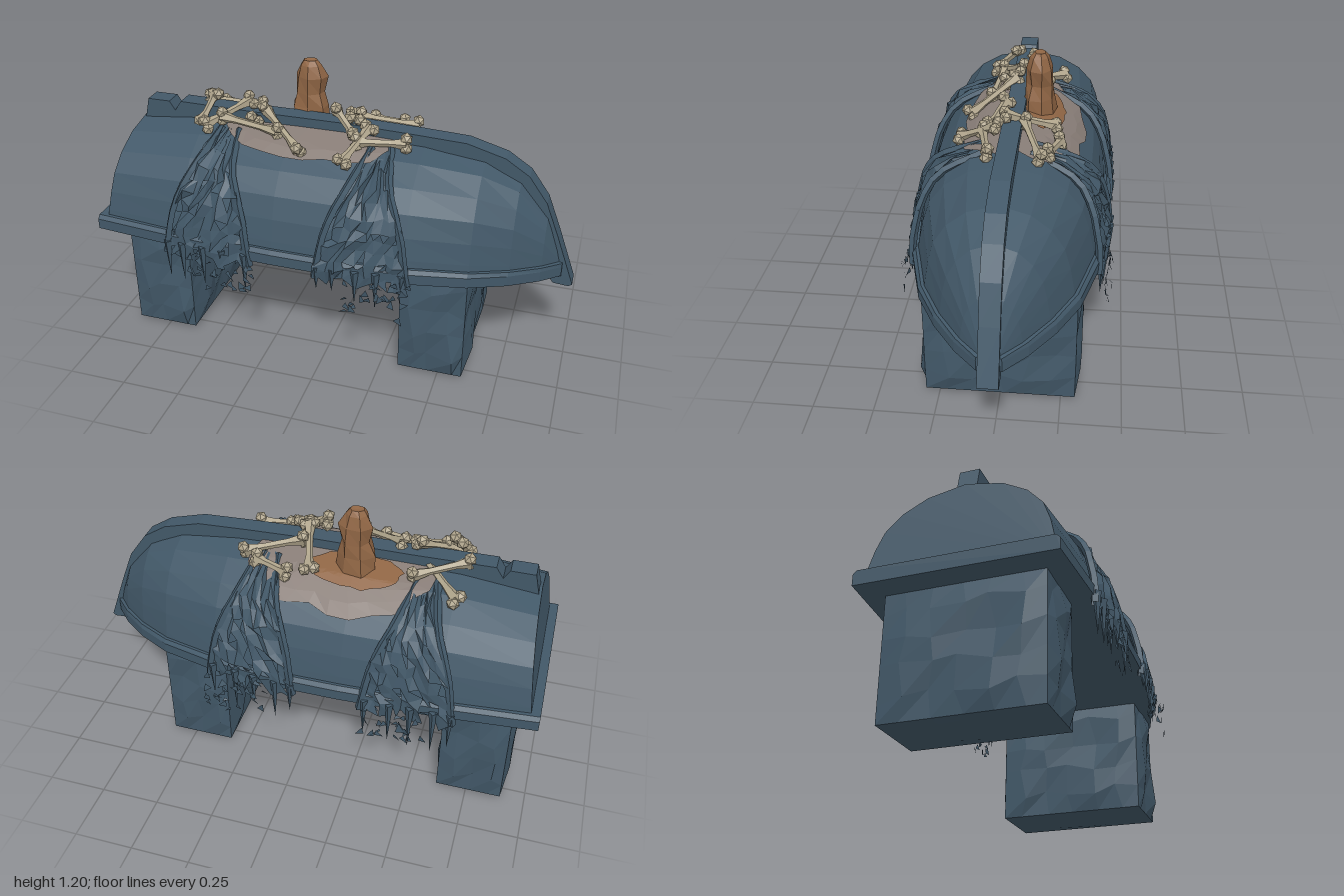
import * as THREE from 'three';

const mat = (name, color) => {
  const m = new THREE.MeshStandardMaterial({ color, flatShading: true, side: THREE.DoubleSide });
  m.name = name;
  return m;
};

let seed = 7;
const rnd = () => ((seed = (seed * 16807) % 2147483647) / 2147483647);
const jit = (a) => (rnd() - 0.5) * 2 * a;
const lerpTable = (table, x) => {
  let i = 0;
  while (i < table.length - 2 && x > table[i + 1][0]) i++;
  const a = table[i], b = table[i + 1];
  const t = THREE.MathUtils.clamp((x - a[0]) / (b[0] - a[0]), 0, 1);
  return a.map((v, k) => v + (b[k] - v) * t);
};

// Hull stations: x, half width, gunwale height, crown height
const STATIONS = [
  [-0.97, 0.37, 0.51, 0.91], [-0.6, 0.395, 0.5, 0.945], [-0.2, 0.405, 0.495, 0.95],
  [0.1, 0.4, 0.49, 0.95], [0.35, 0.37, 0.485, 0.94], [0.6, 0.3, 0.47, 0.91],
  [0.75, 0.215, 0.455, 0.84], [0.87, 0.12, 0.44, 0.7], [0.95, 0.03, 0.425, 0.5],
];
// Hull half profile: width fraction, height fraction
const PROFILE = [[0, 1], [0.4, 0.92], [0.66, 0.78], [0.83, 0.6], [0.91, 0.4], [0.96, 0.2], [1, 0]];
const PROFILE_UP = PROFILE.map(([s, h]) => [h, s]).reverse();

const heightAt = (x, z) => {
  const [, w, g, top] = lerpTable(STATIONS, x);
  return g + (top - g) * lerpTable(PROFILE, Math.abs(z) / w)[1];
};
const halfWidthAt = (x, y) => {
  const [, w, g, top] = lerpTable(STATIONS, x);
  return w * lerpTable(PROFILE_UP, (y - g) / (top - g))[1];
};

function geometryFrom(points, index) {
  const g = new THREE.BufferGeometry();
  g.setAttribute('position', new THREE.Float32BufferAttribute(points.flat(), 3));
  g.setIndex(index);
  g.computeVertexNormals();
  return g;
}

// Skin closed rings of equal length, capped at both ends
function loft(rings) {
  const n = rings[0].length, idx = [], last = (rings.length - 1) * n;
  for (let i = 0; i < rings.length - 1; i++)
    for (let j = 0; j < n; j++) {
      const a = i * n + j, b = i * n + ((j + 1) % n);
      idx.push(a, a + n, b, b, a + n, b + n);
    }
  for (let j = 1; j < n - 1; j++) idx.push(0, j, j + 1, last, last + j + 1, last + j);
  return geometryFrom(rings.flat(), idx);
}

// Weathered stone block with chamfered edges
function stone(cx) {
  const size = [0.32, 0.52, 0.66];
  const g = new THREE.BoxGeometry(...size, 4, 5, 6);
  const p = g.attributes.position;
  for (let i = 0; i < p.count; i++) {
    const v = [p.getX(i), p.getY(i), p.getZ(i)];
    const out = v.map((c, k) => Math.abs(c) > size[k] / 2 - 0.001);
    const edge = out.filter(Boolean).length > 1;
    const [x, y, z] = v;
    const wob = Math.sin(x * 17 + y * 23 + z * 11 + cx * 5) + Math.sin(x * 31 - y * 13 + z * 19);
    const q = v.map((c, k) => {
      if (out[k]) return c - Math.sign(c) * (edge ? 0.022 : 0.007 + 0.007 * wob);
      return c + 0.018 * Math.sin(wob * 3 + k * 2);
    });
    p.setXYZ(i, q[0], Math.max(q[1] * 1.06, -0.26), q[2]);
  }
  g.translate(cx, 0.262, 0);
  g.computeVertexNormals();
  return g;
}

// Irregular stain that lies on the hull
function stain(cx, cz, rx, rz, power, lift) {
  const rings = 6, n = 28, pts = [[cx, heightAt(cx, cz) + lift, cz]], idx = [];
  const wobble = Array.from({ length: n }, () => 1 + jit(0.07));
  for (let r = 1; r <= rings; r++)
    for (let j = 0; j < n; j++) {
      const a = (j / n) * Math.PI * 2, c = Math.cos(a), s = Math.sin(a);
      const k = (r / rings) * wobble[j] / Math.pow(Math.abs(c) ** power + Math.abs(s) ** power, 1 / power);
      const x = cx + rx * k * c, z = cz + rz * k * s;
      pts.push([x, heightAt(x, z) + lift, z]);
      const b = 1 + (r - 1) * n + j, d = 1 + (r - 1) * n + ((j + 1) % n);
      if (r === 1) idx.push(0, d, b);
      else idx.push(b - n, d - n, b, d - n, d, b);
    }
  return geometryFrom(pts, idx);
}

// Torn net hanging over one side of the hull
function net(cx, side, material) {
  const group = new THREE.Group();
  group.name = 'tornNet';
  const add = (g, name) => {
    const m = new THREE.Mesh(g, material);
    m.name = name;
    group.add(m);
  };
  const at = (u, v, off) => {
    const y = 0.93 - 0.46 * v;
    const x = cx + u * lerpTable([[0, 0.04], [0.5, 0.15], [1, 0.19]], v)[1];
    return [x, y, side * (halfWidthAt(x, Math.max(y, 0.54)) + off)];
  };
  const cols = 9, rows = 10, pts = [], idx = [];
  for (let r = 0; r <= rows; r++)
    for (let c = 0; c <= cols; c++) {
      const p = at((c / cols) * 2 - 1, r / rows, 0.03 + jit(0.014));
      pts.push([p[0] + jit(0.012), p[1] + jit(r === rows ? 0.04 : 0.014), p[2]]);
      if (r === 0 || c === 0) continue;
      const d = r * (cols + 1) + c, b = d - cols - 1;
      const chance = r > 4 ? 0.14 : 0.03;
      if (rnd() > chance) idx.push(b - 1, d - 1, b);
      if (rnd() > chance) idx.push(b, d - 1, d);
    }
  add(geometryFrom(pts, idx), 'netSheet');
  // Edge ropes
  for (const u of [-1, 1]) {
    const path = [0, 0.2, 0.4, 0.6, 0.8, 1].map((v) => new THREE.Vector3(...at(u, v, 0.025)));
    add(new THREE.TubeGeometry(new THREE.CatmullRomCurve3(path), 10, 0.016, 4), 'edgeRope');
  }
  // Hanging strands
  for (const u of [-0.95, -0.6, -0.1, 0.35, 0.9]) {
    const len = 0.1 + rnd() * 0.12, p = at(u, 0.97, 0.03);
    const g = new THREE.ConeGeometry(0.018, len, 4);
    g.rotateX(Math.PI);
    g.translate(p[0], p[1] - len / 2 + 0.04, p[2]);
    add(g, 'strand');
  }
  // Loose scraps below
  const bits = [], bitIdx = [];
  for (let i = 0; i < 26; i++) {
    const x = cx + 0.06 + jit(0.14), y = 0.32 + rnd() * 0.16, z = side * (0.425 + jit(0.015)), s = 0.012 + rnd() * 0.008;
    bits.push([x - s, y + jit(s), z], [x + s, y + jit(s), z + jit(s)], [x + jit(s), y + 1.6 * s, z]);
    bitIdx.push(i * 3, i * 3 + 1, i * 3 + 2);
  }
  add(geometryFrom(bits, bitIdx), 'netScraps');
  return group;
}

// Bone with flared shaft and paired knobs
function bone(x1, z1, l1, x2, z2, l2, material) {
  const a = new THREE.Vector3(x1, heightAt(x1, z1) + l1, z1);
  const b = new THREE.Vector3(x2, heightAt(x2, z2) + l2, z2);
  const len = a.distanceTo(b), group = new THREE.Group();
  group.name = 'bone';
  const outline = [[0.027, -0.5], [0.016, -0.25], [0.015, 0.2], [0.027, 0.5]];
  const shaft = new THREE.Mesh(
    new THREE.LatheGeometry(outline.map(([r, t]) => new THREE.Vector2(r, t * len)), 5), material);
  shaft.name = 'boneShaft';
  group.add(shaft);
  for (const end of [-1, 1])
    for (const s of [-1, 1]) {
      const knob = new THREE.Mesh(new THREE.IcosahedronGeometry(0.027, 0), material);
      knob.name = 'boneKnob';
      knob.position.set(s * 0.02, (end * len) / 2, 0);
      knob.rotation.set(s, end, s * 2);
      group.add(knob);
    }
  group.position.copy(a).add(b).multiplyScalar(0.5);
  group.quaternion.setFromUnitVectors(new THREE.Vector3(0, 1, 0), b.sub(a).normalize());
  return group;
}

export function createModel() {
  const model = new THREE.Group();
  const slate = mat('slateBlue', 0x425868), ivory = mat('boneIvory', 0xb0a58c);
  const taupe = mat('dustTaupe', 0x887d77), brown = mat('waxBrown', 0x8f6544);
  const add = (name, geo, material) => {
    const m = new THREE.Mesh(geo, material);
    m.name = name;
    model.add(m);
  };

  // Upturned hull, stern face leaning inward
  const half = PROFILE.slice().reverse();
  const section = [...half, ...half.slice(0, -1).reverse().map(([s, h]) => [-s, h])];
  add('hull', loft(STATIONS.map(([x, w, g, top], i) =>
    section.map(([s, h]) => [x + (i === 0 ? 0.05 * h : 0), g + (top - g) * h, s * w]))), slate);

  // Gunwale rim
  const rim = [[-1, 0.37, 0.51], ...STATIONS.slice(1)];
  add('rim', loft(rim.map(([x, w, g]) =>
    [[1, 0], [1, 0.045], [0.96, 0.06], [-0.96, 0.06], [-1, 0.045], [-1, 0]]
      .map(([s, h]) => [x, g + h, s * (w + 0.018)]))), slate);

  // Notched keel and curved stem
  const keel = new THREE.Shape([
    [-0.92, 0.86], [-0.89, 0.99], [-0.79, 0.99], [-0.765, 0.95], [-0.735, 0.995], [-0.4, 0.99],
    [0, 0.99], [0.3, 0.98], [0.52, 0.97], [0.68, 0.925], [0.78, 0.86], [0.86, 0.75], [0.92, 0.6],
    [1, 0.385], [0.985, 0.375], [0.92, 0.38], [0.87, 0.45], [0.8, 0.7], [0.5, 0.86],
  ].map(([x, y]) => new THREE.Vector2(x, y)));
  const keelGeo = new THREE.ExtrudeGeometry(keel, { depth: 0.08, bevelEnabled: false });
  add('keel', keelGeo.translate(0, 0, -0.04), slate);

  // Supporting stones
  add('sternStone', stone(-0.76), slate);
  add('bowStone', stone(0.465), slate);

  // Stains on the hull crown
  add('dustStain', stain(-0.12, -0.04, 0.38, 0.25, 3.2, 0.009), taupe);
  add('waxStain', stain(-0.19, -0.125, 0.19, 0.085, 2, 0.016), brown);

  // Melted candle
  const candle = new THREE.LatheGeometry([[0.09, 0.93], [0.08, 1.0], [0.064, 1.06], [0.066, 1.13],
    [0.045, 1.18], [0.03, 1.2], [0, 1.195]].map(([r, y]) => new THREE.Vector2(r, y)), 7);
  const p = candle.attributes.position;
  for (let i = 0; i < p.count; i++) {
    const x = p.getX(i), y = p.getY(i), z = p.getZ(i);
    const k = 1 + 0.12 * Math.sin(Math.round(x * 500) * 0.7 + Math.round(z * 500) * 1.3 + y * 40);
    p.setXYZ(i, x * k - 0.18, y, z * k * 0.85 - 0.095);
  }
  add('candle', candle, brown);

  // Scattered bones: start x, z, lift; end x, z, lift
  [
    [-0.61, -0.19, 0.03, -0.38, 0.07, 0.04], [-0.63, -0.03, 0.06, -0.42, -0.12, 0.03],
    [-0.57, 0.03, 0.11, -0.6, 0.12, 0.04], [-0.35, 0.02, 0.06, -0.14, 0.2, 0.03],
    [-0.58, 0.13, 0.03, -0.42, 0.0, 0.08], [-0.52, 0.09, 0.05, -0.26, 0.12, 0.03],
    [-0.01, -0.18, 0.04, 0.05, 0.03, 0.07], [0.05, -0.05, 0.05, 0.28, -0.13, 0.03],
    [0.05, 0.22, 0.03, 0.12, 0.06, 0.06], [0.08, 0.12, 0.03, 0.28, 0.08, 0.03],
    [-0.03, 0.03, 0.1, 0.06, 0.09, 0.04], [0.08, -0.2, 0.03, 0.22, -0.16, 0.03],
  ].forEach((b) => model.add(bone(...b, ivory)));

  // Nets on both sides
  for (const side of [1, -1]) for (const cx of [-0.48, 0.18]) model.add(net(cx, side, slate));
  return model;
}
